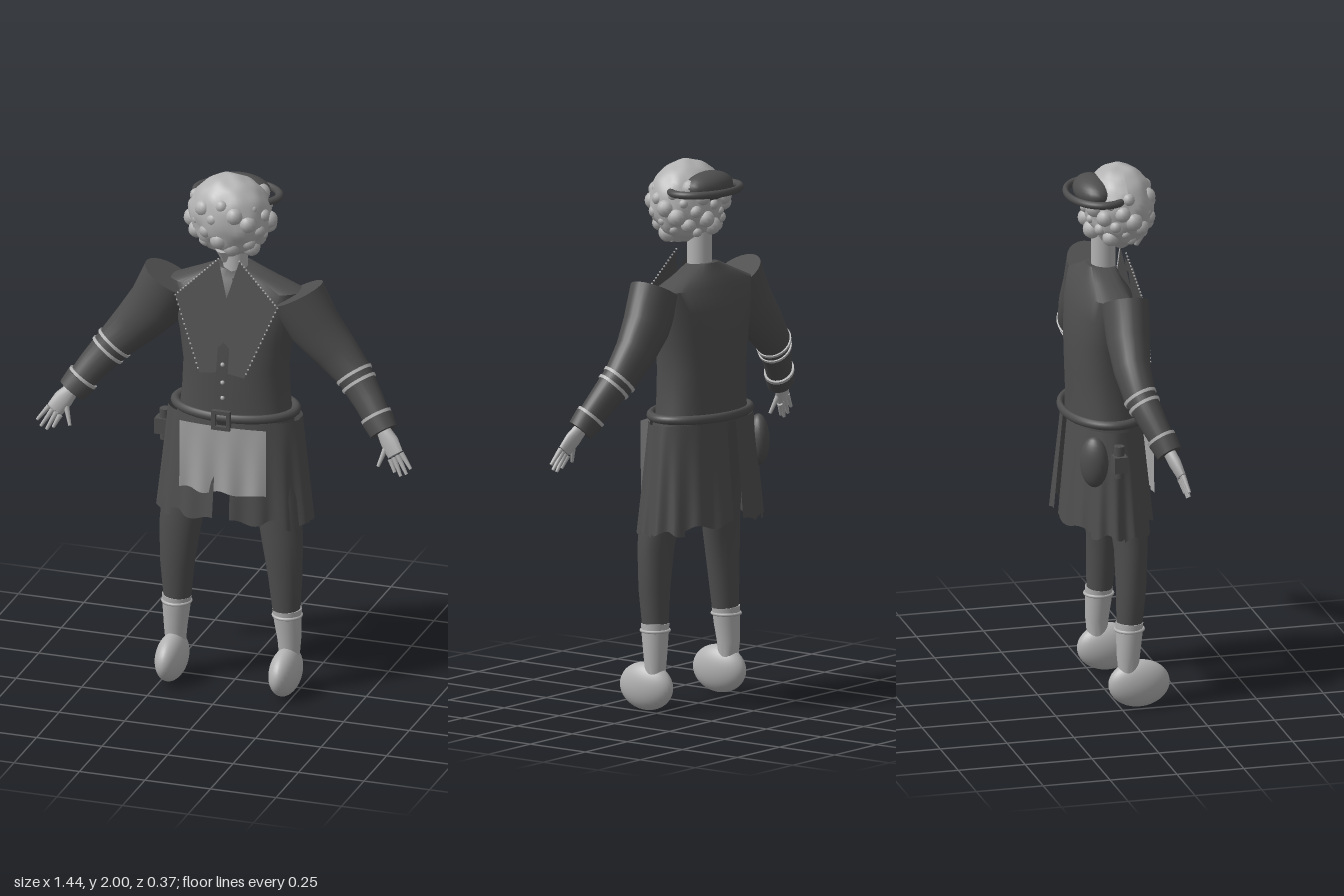
import * as THREE from 'three';
import { toCreasedNormals } from 'three/addons/utils/BufferGeometryUtils.js';

const material = (name, color, side = THREE.FrontSide) => {
  const m = new THREE.MeshStandardMaterial({ color, side });
  m.name = name;
  return m;
};

// Loft of elliptical rings; each section is [x, y, z, radius across, radius in depth]
function loft(sections, power = 1, sides = 24) {
  const c = sections.map((s) => new THREE.Vector3(s[0], s[1], s[2]));
  const pos = [], idx = [], n = c.length;
  const bend = (v) => Math.sign(v) * Math.abs(v) ** power;
  c.forEach((p, i) => {
    const t = c[Math.min(i + 1, n - 1)].clone().sub(c[Math.max(i - 1, 0)]).normalize();
    const u = t.clone().cross(new THREE.Vector3(0, 0, 1)).normalize();
    const v = t.clone().cross(u);
    for (let j = 0; j < sides; j++) {
      const a = (j / sides) * Math.PI * 2;
      const q = p.clone().addScaledVector(u, bend(Math.cos(a)) * sections[i][3])
        .addScaledVector(v, bend(Math.sin(a)) * sections[i][4]);
      pos.push(q.x, q.y, q.z);
    }
  });
  pos.push(...c[0].toArray(), ...c[n - 1].toArray());
  for (let j = 0; j < sides; j++) {
    const k = (j + 1) % sides, end = (n - 1) * sides;
    for (let i = 0; i < n - 1; i++) {
      const a = i * sides;
      idx.push(a + j, a + k, a + sides + j, a + k, a + sides + k, a + sides + j);
    }
    idx.push(n * sides, k, j, n * sides + 1, end + j, end + k);
  }
  const g = new THREE.BufferGeometry();
  g.setAttribute('position', new THREE.Float32BufferAttribute(pos, 3));
  g.setIndex(idx);
  return toCreasedNormals(g, 0.8);
}

// Moves every vertex by a rule
function reshape(g, rule) {
  const p = g.attributes.position, v = new THREE.Vector3();
  for (let i = 0; i < p.count; i++) {
    rule(v.fromBufferAttribute(p, i));
    p.setXYZ(i, v.x, v.y, v.z);
  }
  g.computeVertexNormals();
  return g;
}

export function createModel() {
  const model = new THREE.Group();
  const dark = material('dark cloth', 0x4e4e4e);
  const darkSheet = material('dark cloth sheet', 0x4e4e4e, THREE.DoubleSide);
  const light = material('light grey', 0xb2b2b2);
  const apronGrey = material('apron grey', 0xa4a4a4, THREE.DoubleSide);

  const add = (parent, name, geo, mat, x = 0, y = 0, z = 0) => {
    const m = new THREE.Mesh(geo, mat);
    m.name = name;
    m.position.set(x, y, z);
    parent.add(m);
    return m;
  };
  const ball = (parent, name, mat, x, y, z, rx, ry = rx, rz = rx, seg = 24) => {
    const m = add(parent, name, new THREE.SphereGeometry(1, seg, Math.ceil(seg * 0.6)), mat, x, y, z);
    m.scale.set(rx, ry, rz);
    return m;
  };
  const rod = (parent, name, mat, a, b, r0, r1) => {
    const p = new THREE.Vector3(...a), d = new THREE.Vector3(...b).sub(p);
    const m = add(parent, name, new THREE.CylinderGeometry(r1, r0, d.length(), 10), mat);
    m.position.copy(p).addScaledVector(d, 0.5);
    m.quaternion.setFromUnitVectors(new THREE.Vector3(0, 1, 0), d.normalize());
    return m;
  };

  // Head with lumpy surface, curls and a small beard tip
  const head = new THREE.Group();
  head.name = 'head';
  model.add(head);
  add(head, 'face and hair', reshape(new THREE.SphereGeometry(1, 48, 32), (v) => {
    const low = THREE.MathUtils.smoothstep(-v.y, -0.6, 0.3);
    const lump = 1 + (0.025 + 0.03 * low) * Math.sin(v.x * 9 + 0.6) * Math.sin(v.y * 8) * Math.cos(v.z * 8);
    v.set(v.x * 0.153, v.y * 0.152, v.z * 0.127).multiplyScalar(lump);
  }), light, 0, 1.846, 0.052);
  for (let i = 0; i < 46; i++) {
    const a = i * 2.39996, h = 0.45 - 1.2 * (i / 45), r = Math.sqrt(1 - h * h);
    const size = 0.026 + 0.009 * Math.sin(i * 1.7);
    ball(head, 'curl', light, Math.sin(a) * r * 0.142, 1.846 + h * 0.145, 0.045 + Math.cos(a) * r * 0.115,
      size, size, size, 12);
  }
  rod(head, 'beardTip', light, [0, 1.74, 0.13], [0, 1.685, 0.118], 0.03, 0.008);
  add(head, 'neck', new THREE.CylinderGeometry(0.045, 0.045, 0.17, 24), light, 0, 1.68, -0.005);

  // Flat cap with a wide hoop brim
  const brim = add(head, 'hatBrim', new THREE.TorusGeometry(1, 0.1, 12, 48), dark, 0, 1.897, -0.03);
  brim.rotation.x = Math.PI / 2;
  brim.scale.set(0.155, 0.108, 0.14);
  ball(head, 'hatCrown', dark, 0, 1.91, -0.045, 0.118, 0.054, 0.068);

  // Jacket body
  add(model, 'jacket', loft([
    [0, 1.05, -0.012, 0.21, 0.12], [0, 1.14, -0.012, 0.2, 0.12], [0, 1.25, -0.014, 0.195, 0.123],
    [0, 1.36, -0.016, 0.21, 0.122], [0, 1.47, -0.018, 0.235, 0.113], [0, 1.55, -0.018, 0.25, 0.093],
    [0, 1.59, -0.018, 0.15, 0.068], [0, 1.625, -0.015, 0.065, 0.053],
  ], 0.85, 40), dark);

  // Buttons, belt and buckle
  for (const y of [1.29, 1.22, 1.16]) ball(model, 'button', light, 0, y, 0.142, 0.008, 0.008, 0.008, 10);
  const belt = add(model, 'belt', new THREE.TorusGeometry(1, 0.08, 12, 56), dark, 0, 1.08, -0.008);
  belt.rotation.x = Math.PI / 2;
  belt.scale.set(0.225, 0.147, 0.21);
  for (const s of [-1, 1]) {
    add(model, 'buckleSide', new THREE.BoxGeometry(0.014, 0.074, 0.018), dark, s * 0.028, 1.078, 0.156);
    add(model, 'buckleBar', new THREE.BoxGeometry(0.07, 0.014, 0.018), dark, 0, 1.078 + s * 0.03, 0.156);
  }

  // Hanging apron
  add(model, 'apron', reshape(new THREE.PlaneGeometry(0.33, 0.26, 32, 8), (v) => {
    const fall = 0.5 - v.y / 0.26;
    v.z = 0.152 - v.x * v.x * 0.5 + 0.007 * fall * Math.sin(v.x * 60);
    v.y += 0.92 + 0.006 * fall * Math.cos(v.x * 45);
  }), apronGrey);

  // Skirt panels: [start angle, end angle, hem height, flare]
  const panels = [[0.11, 0.86, 0.685, 0], [0.8, 1.5, 0.66, 0.012], [1.44, 2.2, 0.67, 0], [2.12, 3.04, 0.69, 0.008]];
  for (const s of [-1, 1]) {
    for (const [a0, a1, hem, flare] of panels) {
      add(model, 'skirtPanel', reshape(new THREE.PlaneGeometry(1, 1, 20, 8), (v) => {
        const a = a0 + (v.x + 0.5) * (a1 - a0), fall = 0.5 - v.y;
        const wave = 1 + flare * 2 + 0.03 * fall * Math.sin(a * 16);
        v.set(s * Math.sin(a) * (0.25 + 0.035 * fall) * wave,
          1.06 - fall * (1.06 - hem) + 0.01 * fall * Math.sin(a * 11),
          -0.012 + Math.cos(a) * (0.135 + 0.038 * fall) * wave);
      }), darkSheet);
    }
  }

  // Hip pouch and knob
  const pouch = ball(model, 'pouch', dark, -0.225, 0.95, -0.1, 0.055, 0.095, 0.04);
  pouch.rotation.y = 0.8;
  add(model, 'pouchKnob', new THREE.BoxGeometry(0.05, 0.06, 0.05), dark, -0.283, 0.955, -0.02);
  rod(model, 'pouchStrap', dark, [-0.275, 0.9, -0.02], [-0.275, 1.02, -0.02], 0.018, 0.02);

  // One side of the body, built for +x and mirrored
  const armPath = [
    [0.24, 1.55, 0.012, 0.108, 0.085], [0.305, 1.43, 0.006, 0.101, 0.077], [0.38, 1.345, 0, 0.086, 0.066],
    [0.455, 1.265, 0.008, 0.069, 0.058], [0.525, 1.18, 0.042, 0.058, 0.049], [0.595, 1.085, 0.082, 0.047, 0.04],
  ];
  const armAt = (t, grow) => {
    const f = t * (armPath.length - 1), i = Math.min(Math.floor(f), armPath.length - 2);
    return armPath[i].map((v, k) => THREE.MathUtils.lerp(v, armPath[i + 1][k], f - i) + (k > 2 ? grow : 0));
  };
  for (const s of [-1, 1]) {
    const half = new THREE.Group();
    half.name = s > 0 ? 'leftSide' : 'rightSide';
    half.scale.x = s;
    model.add(half);

    // Sleeve, stripes and cuff
    add(half, 'sleeve', loft(armPath), dark);
    for (const t of [0.6, 0.66]) {
      add(half, 'sleeveStripe', loft([armAt(t, 0.005), armAt(t + 0.02, 0.005)]), light);
    }
    add(half, 'cuff', loft([armAt(0.91, 0.009), armAt(1, 0.007)]), dark);
    add(half, 'cuffTrim', loft([armAt(0.89, 0.008), armAt(0.908, 0.008)]), light);

    // Hand
    add(half, 'palm', loft([[0.59, 1.095, 0.08, 0.026, 0.022], [0.622, 1.055, 0.096, 0.036, 0.021],
      [0.65, 1.015, 0.112, 0.033, 0.014]], 1, 16), light);
    const tips = [[0.713, 0.972, 0.125], [0.698, 0.95, 0.128], [0.676, 0.94, 0.128], [0.652, 0.95, 0.124]];
    tips.forEach((tip, i) => rod(half, 'finger', light,
      [0.672 - i * 0.014, 1.025 - i * 0.01, 0.112], tip, 0.01, 0.006));
    rod(half, 'thumb', light, [0.612, 1.04, 0.1], [0.588, 0.965, 0.125], 0.011, 0.006);

    // Lapel sheet with beaded edge and collar point
    const lean = (v) => { v.z = 0.068 + (1.68 - v.y) * 0.19; };
    const outline = [[0.04, 1.67], [0.195, 1.52], [0.085, 1.25], [0.022, 1.26], [0.022, 1.35], [0, 1.37], [0, 1.53]];
    const lapel = new THREE.Shape(outline.map((p) => new THREE.Vector2(...p)));
    add(half, 'lapel', reshape(new THREE.ShapeGeometry(lapel), lean), darkSheet);
    const tab = new THREE.Shape([[0.02, 1.61], [0.06, 1.62], [0.085, 1.565], [0.035, 1.57]].map((p) => new THREE.Vector2(...p)));
    add(half, 'collarPoint', reshape(new THREE.ShapeGeometry(tab), (v) => { lean(v); v.z += 0.012; }), darkSheet);
    for (let e = 0; e < 2; e++) {
      for (let i = 0; i < 16; i++) {
        const [a, b] = [outline[e], outline[e + 1]], f = i / 16;
        const v = new THREE.Vector3(a[0] + (b[0] - a[0]) * f, a[1] + (b[1] - a[1]) * f, 0);
        lean(v);
        ball(half, 'lapelBead', light, v.x, v.y, v.z, 0.004, 0.004, 0.004, 6);
      }
    }

    // Trouser leg, sock and shoe
    add(half, 'trouserLeg', loft([
      [0.208, 0.32, 0.037, 0.051, 0.047], [0.206, 0.45, 0.043, 0.063, 0.054], [0.195, 0.6, 0.045, 0.077, 0.06],
      [0.175, 0.75, 0.035, 0.085, 0.07], [0.14, 0.92, 0.01, 0.095, 0.09], [0.12, 1.06, -0.01, 0.095, 0.1],
    ]), dark);
    add(half, 'sock', loft([
      [0.217, 0.13, 0.03, 0.037, 0.035], [0.217, 0.2, 0.03, 0.043, 0.042], [0.213, 0.27, 0.034, 0.05, 0.047],
      [0.21, 0.325, 0.036, 0.054, 0.05],
    ]), light);
    const trim = add(half, 'sockTrim', new THREE.TorusGeometry(0.051, 0.006, 8, 28), light, 0.211, 0.3, 0.035);
    trim.rotation.x = Math.PI / 2;
    ball(half, 'shoe', light, 0.217, 0.092, 0.07, 0.054, 0.088, 0.114, 32);
  }
  return model;
}
